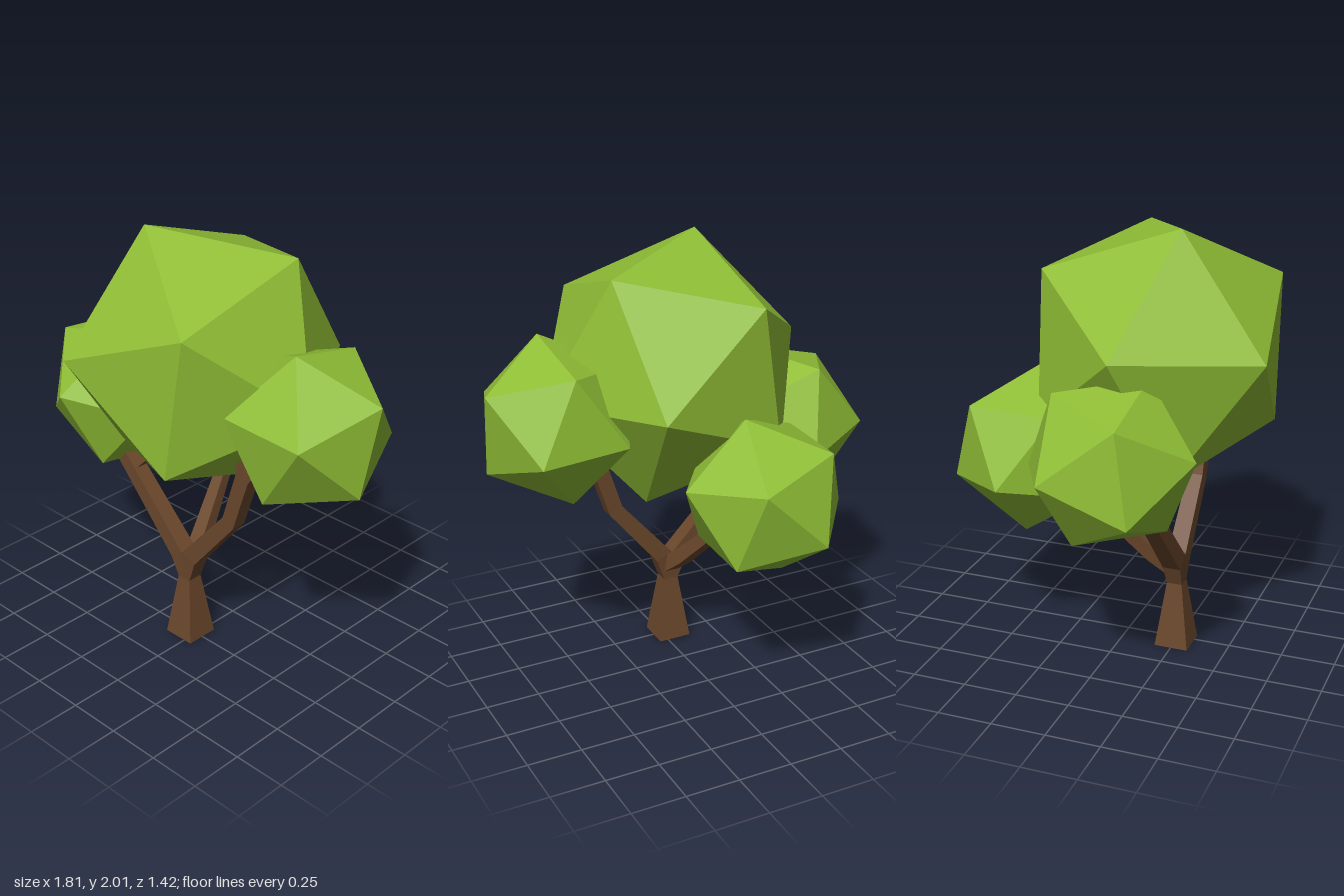
import * as THREE from 'three';

const leafMat = new THREE.MeshStandardMaterial({ color: 0x8fbd35, flatShading: true });
const barkMat = new THREE.MeshStandardMaterial({ color: 0x6a472b, flatShading: true });
const vec = (a) => new THREE.Vector3(...a);

// Orthonormal frame whose first axis is u and whose second leans towards v
function frame(u, v) {
  const a = u.clone().normalize();
  const b = v.clone().addScaledVector(a, -v.dot(a)).normalize();
  return new THREE.Matrix4().makeBasis(a, b, a.clone().cross(b));
}

// Icosahedral leaf clump, turned so that two neighbouring corners point along u and v
function clump(name, centre, radius, u, v) {
  const geo = new THREE.IcosahedronGeometry(radius, 0);
  const p = geo.attributes.position;
  const from = frame(
    new THREE.Vector3().fromBufferAttribute(p, 0),
    new THREE.Vector3().fromBufferAttribute(p, 1)
  );
  geo.applyMatrix4(frame(vec(u), vec(v)).multiply(from.transpose()));
  const mesh = new THREE.Mesh(geo, leafMat);
  mesh.name = name;
  mesh.position.set(...centre);
  return mesh;
}

// Square-section limb through stations [x, y, z, halfWidth]
function limb(name, stations, ref = [0, 0, 1]) {
  const pts = stations.map(([x, y, z]) => new THREE.Vector3(x, y, z));
  const pos = [], index = [];
  const last = pts.length - 1;
  pts.forEach((p, i) => {
    const t = new THREE.Vector3();
    if (i > 0) t.add(p.clone().sub(pts[i - 1]).normalize());
    if (i < last) t.add(pts[i + 1].clone().sub(p).normalize());
    t.normalize();
    const a = t.clone().cross(vec(ref)).normalize();
    const b = t.clone().cross(a);
    const h = stations[i][3];
    for (const [s, r] of [[1, 1], [-1, 1], [-1, -1], [1, -1]]) {
      pos.push(...p.clone().addScaledVector(a, s * h).addScaledVector(b, r * h).toArray());
    }
    if (i === last) return;
    for (let k = 0; k < 4; k++) {
      const c = i * 4 + k, d = i * 4 + ((k + 1) % 4);
      index.push(c, d, d + 4, c, d + 4, c + 4);
    }
  });
  const e = last * 4;
  index.push(0, 2, 1, 0, 3, 2, e, e + 1, e + 2, e, e + 2, e + 3);
  const geo = new THREE.BufferGeometry();
  geo.setAttribute('position', new THREE.Float32BufferAttribute(pos, 3));
  geo.setIndex(index);
  geo.computeVertexNormals();
  const mesh = new THREE.Mesh(geo, barkMat);
  mesh.name = name;
  return mesh;
}

export function createModel() {
  const tree = new THREE.Group();
  tree.name = 'tree';

  // Foliage
  tree.add(
    clump('mainFoliage', [-0.01, 1.43, 0.155], 0.63, [-0.2, 0.57, 0.155], [-0.29, 0.06, 0.555]),
    clump('leftFoliage', [0.565, 1.275, 0.13], 0.383, [0.025, 0.365, 0.12], [0.215, 0.055, 0.31]),
    clump('rightFoliage', [-0.57, 1.08, 0.13], 0.388, [-0.02, 0.06, 0.38], [-0.28, 0.25, 0.12]),
    clump('backFoliage', [-0.205, 0.955, -0.375], 0.385, [-0.125, -0.135, -0.335], [0.165, 0.145, -0.315])
  );

  // Flared trunk
  tree.add(limb('trunk', [
    [-0.038, 0, 0.25, 0.079], [-0.038, 0.31, 0.25, 0.036], [-0.038, 0.41, 0.25, 0.037],
  ]));

  // Branches fanning out from the fork
  tree.add(
    limb('leftBranch', [
      [-0.038, 0.32, 0.25, 0.036], [0, 0.44, 0.25, 0.042], [0.245, 0.73, 0.25, 0.036],
      [0.33, 0.99, 0.25, 0.037], [0.4, 1.1, 0.24, 0.045],
    ]),
    limb('leftTwig', [[0.34, 0.99, 0.25, 0.035], [0.3, 1.1, 0.25, 0.03]]),
    limb('rightBranch', [
      [-0.038, 0.32, 0.25, 0.036], [-0.08, 0.43, 0.25, 0.042], [-0.42, 0.79, 0.25, 0.036],
      [-0.5, 0.87, 0.25, 0.034],
    ]),
    limb('rightTwig', [[-0.4, 0.77, 0.25, 0.034], [-0.27, 0.91, 0.19, 0.03], [-0.2, 1.02, 0.15, 0.028]]),
    limb('backBranch', [
      [-0.038, 0.38, 0.24, 0.036], [-0.065, 0.45, 0.15, 0.035], [-0.16, 0.72, -0.12, 0.026],
      [-0.2, 0.83, -0.25, 0.02],
    ], [1, 0, 0]),
    limb('backTwig', [[-0.16, 0.71, -0.11, 0.024], [-0.178, 0.84, -0.1, 0.002]])
  );
  return tree;
}
